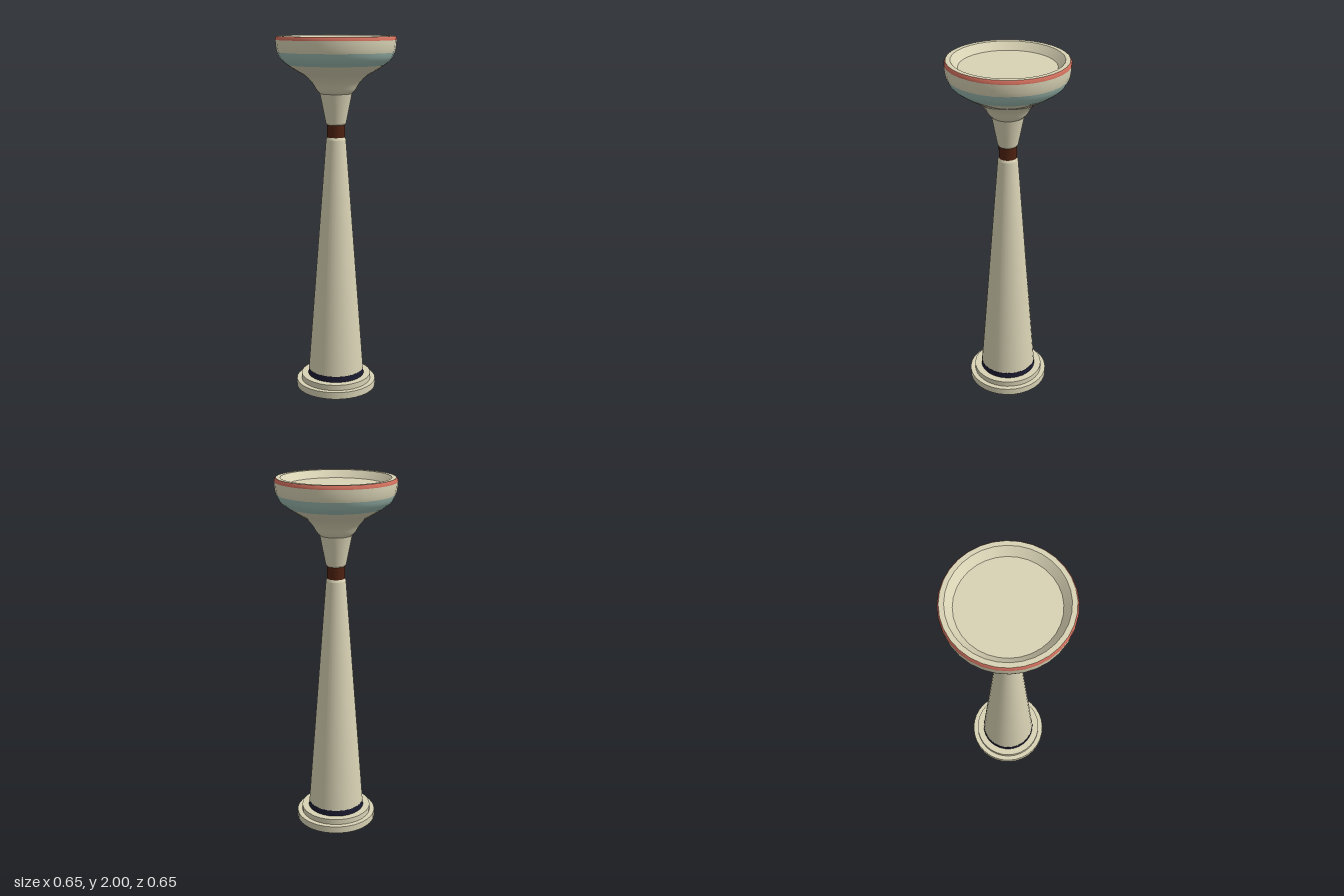
import * as THREE from 'three';

const SIDES = 32;

function material(name, color) {
  const m = new THREE.MeshStandardMaterial({ color });
  m.name = name;
  return m;
}

export function createModel() {
  const group = new THREE.Group();
  const cream = material('cream', 0xd8d2b4);
  const teal = material('teal', 0x9dbbb0);
  const coral = material('coral', 0xcf6e5c);
  const brown = material('brown', 0x4e2110);
  const navy = material('navy', 0x1b1b32);

  // Turned part from a [radius, height] profile running up the outside
  const turn = (name, mat, profile) => {
    const points = profile.map(([r, y]) => new THREE.Vector2(r, y));
    const mesh = new THREE.Mesh(new THREE.LatheGeometry(points, SIDES), mat);
    mesh.name = name;
    group.add(mesh);
  };
  // Solid tapered drum between two heights
  const drum = (name, mat, rTop, rBottom, y0, y1) => {
    const mesh = new THREE.Mesh(new THREE.CylinderGeometry(rTop, rBottom, y1 - y0, SIDES), mat);
    mesh.position.y = (y0 + y1) / 2;
    mesh.name = name;
    group.add(mesh);
  };

  // Stepped base
  drum('basePlinth', cream, 0.228, 0.228, 0, 0.04);
  drum('baseStep', cream, 0.2, 0.2, 0.04, 0.072);
  drum('baseBand', navy, 0.159, 0.161, 0.072, 0.105);

  // Tapered shaft with a small shoulder, collar and flared neck
  drum('shaft', cream, 0.055, 0.158, 0.105, 1.44);
  drum('shaftShoulder', cream, 0.049, 0.055, 1.44, 1.453);
  drum('collar', brown, 0.049, 0.049, 1.453, 1.522);
  drum('neckShoulder', cream, 0.056, 0.049, 1.522, 1.532);
  drum('neck', cream, 0.088, 0.056, 1.532, 1.692);

  // Bowl outside: one smooth curve cut into coloured zones
  const curve = new THREE.SplineCurve([
    [0.085, 1.69], [0.105, 1.71], [0.13, 1.75], [0.165, 1.785], [0.215, 1.815],
    [0.265, 1.847], [0.3, 1.878], [0.318, 1.915], [0.325, 1.95], [0.327, 1.98],
  ].map(([r, y]) => new THREE.Vector2(r, y)));
  const outline = curve.getPoints(36).map((p) => [p.x, p.y]);
  turn('bowlUnderside', cream, [[0, 1.69], [0.085, 1.69]]);
  turn('bowlLower', cream, outline.slice(0, 21));
  turn('bowlBand', teal, outline.slice(20, 29));
  turn('bowlUpper', cream, outline.slice(28));

  // Coral lip, flat rim and shallow recessed dish
  turn('lip', coral, [[0.327, 1.98], [0.326, 1.99], [0.319, 2]]);
  turn('rim', cream, [[0.319, 2], [0.294, 2]]);
  turn('dishWall', cream, [[0.294, 2], [0.257, 1.96]]);
  turn('dishFloor', cream, [[0.257, 1.96], [0, 1.96]]);

  return group;
}
